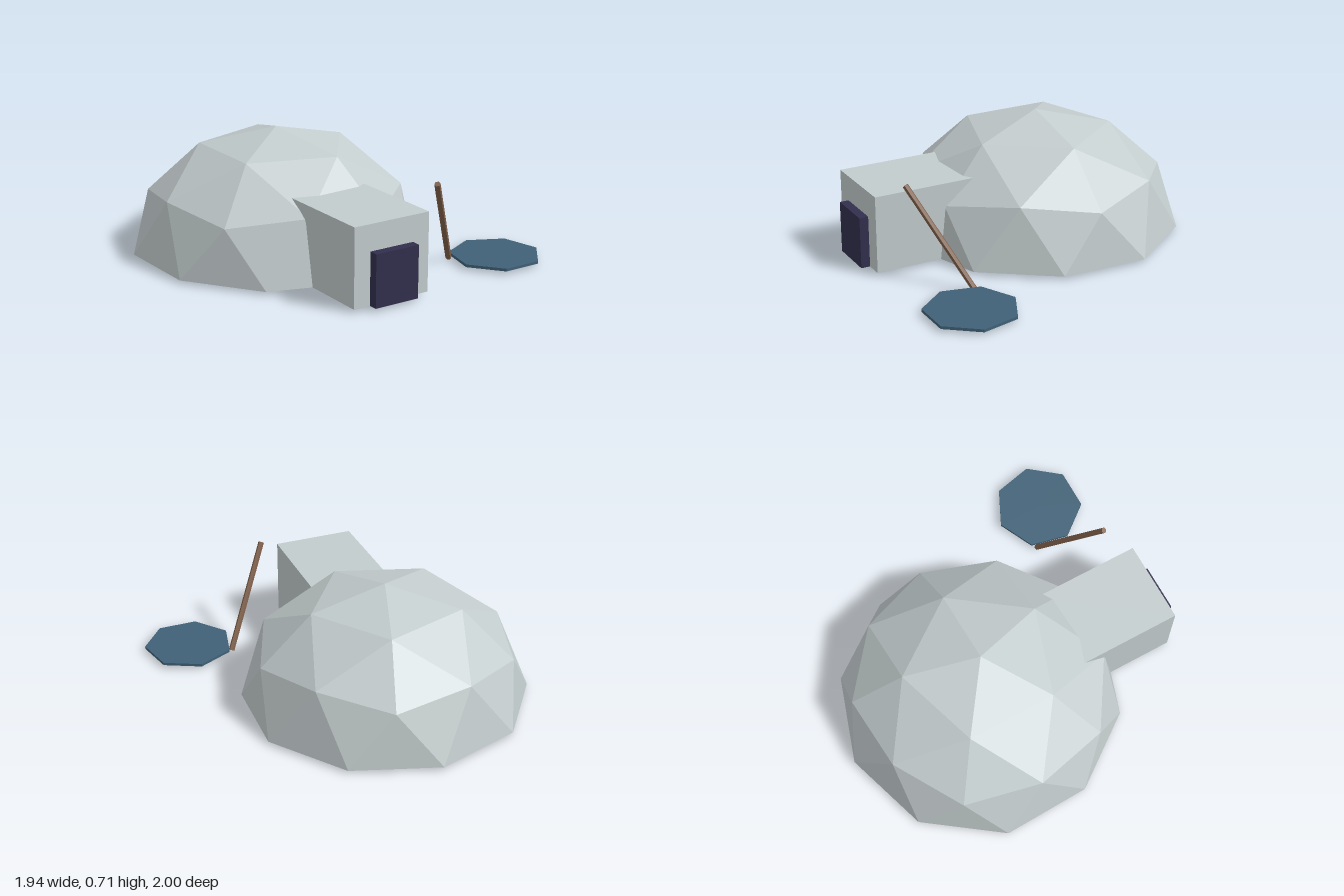
import * as THREE from 'three';

const material = (name, color) => {
  const m = new THREE.MeshStandardMaterial({ color, flatShading: true });
  m.name = name;
  return m;
};

// Half of a faceted ball, built from rings around the top point, with a flat base.
function domeGeometry(radius, height) {
  const ring = (count, start, r, y) => Array.from({ length: count }, (_, i) => {
    const a = THREE.MathUtils.degToRad(start + i * 360 / count);
    return [Math.cos(a) * r * radius, y * height, -Math.sin(a) * r * radius];
  });
  const upper = ring(5, 0, 0.526, 0.851);
  const corner = ring(5, 0, 0.888, 0.447);
  const middle = ring(5, 36, 0.851, 0.526);
  const rim = ring(10, 18, 1, 0);
  // the front of the rim is drawn in slightly
  for (const p of rim) if (p[2] > 0) { p[0] *= 0.98; p[2] *= 0.975; }

  const points = [];
  const tri = (...corners) => corners.forEach((c) => points.push(...c));
  for (let k = 0; k < 5; k++) {
    const n = (k + 1) % 5;
    const a = rim[(2 * k + 9) % 10], b = rim[2 * k], c = rim[2 * k + 1];
    tri([0, height, 0], upper[k], upper[n]);
    tri(upper[k], middle[k], upper[n]);
    tri(upper[k], corner[k], middle[k]);
    tri(upper[n], middle[k], corner[n]);
    tri(corner[k], a, b);
    tri(corner[k], b, middle[k]);
    tri(middle[k], b, c);
    tri(middle[k], c, corner[n]);
    tri([0, 0, 0], b, a);
    tri([0, 0, 0], c, b);
  }
  const g = new THREE.BufferGeometry();
  g.setAttribute('position', new THREE.Float32BufferAttribute(points, 3));
  g.computeVertexNormals();
  return g;
}

export function createModel() {
  const group = new THREE.Group();
  const snow = material('snow', 0xc3cccd);
  const dark = material('doorway dark', 0x322f4e);
  const water = material('water', 0x406177);
  const wood = material('wood', 0x81614b);

  const add = (name, geometry, mat, x, y, z) => {
    const mesh = new THREE.Mesh(geometry, mat);
    mesh.name = name;
    mesh.position.set(x, y, z);
    group.add(mesh);
    return mesh;
  };
  const box = (name, mat, [x0, x1], [y0, y1], [z0, z1]) =>
    add(name, new THREE.BoxGeometry(x1 - x0, y1 - y0, z1 - z0), mat,
      (x0 + x1) / 2, (y0 + y1) / 2, (z0 + z1) / 2);

  // Snow house
  add('dome', domeGeometry(0.83, 0.69), snow, -0.184, 0.015, -0.17);
  box('entranceTunnel', snow, [-0.42, 0.052], [0.015, 0.46], [0.3, 0.948]);
  box('doorway', dark, [-0.32, -0.05], [0.015, 0.312], [0.94, 1]);

  // Seven-sided fishing hole
  const hole = add('fishingHole', new THREE.CylinderGeometry(0.26, 0.26, 0.016, 7), water, 0.709, 0.023, 0.712);
  hole.rotation.y = Math.PI;

  // Leaning fishing rod
  const foot = new THREE.Vector3(0.485, 0.008, 0.575);
  const tip = new THREE.Vector3(0.193, 0.555, 0.832);
  const along = tip.clone().sub(foot);
  const mid = foot.clone().add(tip).multiplyScalar(0.5);
  const rod = add('fishingRod', new THREE.CylinderGeometry(0.017, 0.017, along.length(), 6), wood, mid.x, mid.y, mid.z);
  rod.quaternion.setFromUnitVectors(new THREE.Vector3(0, 1, 0), along.normalize());

  return group;
}
